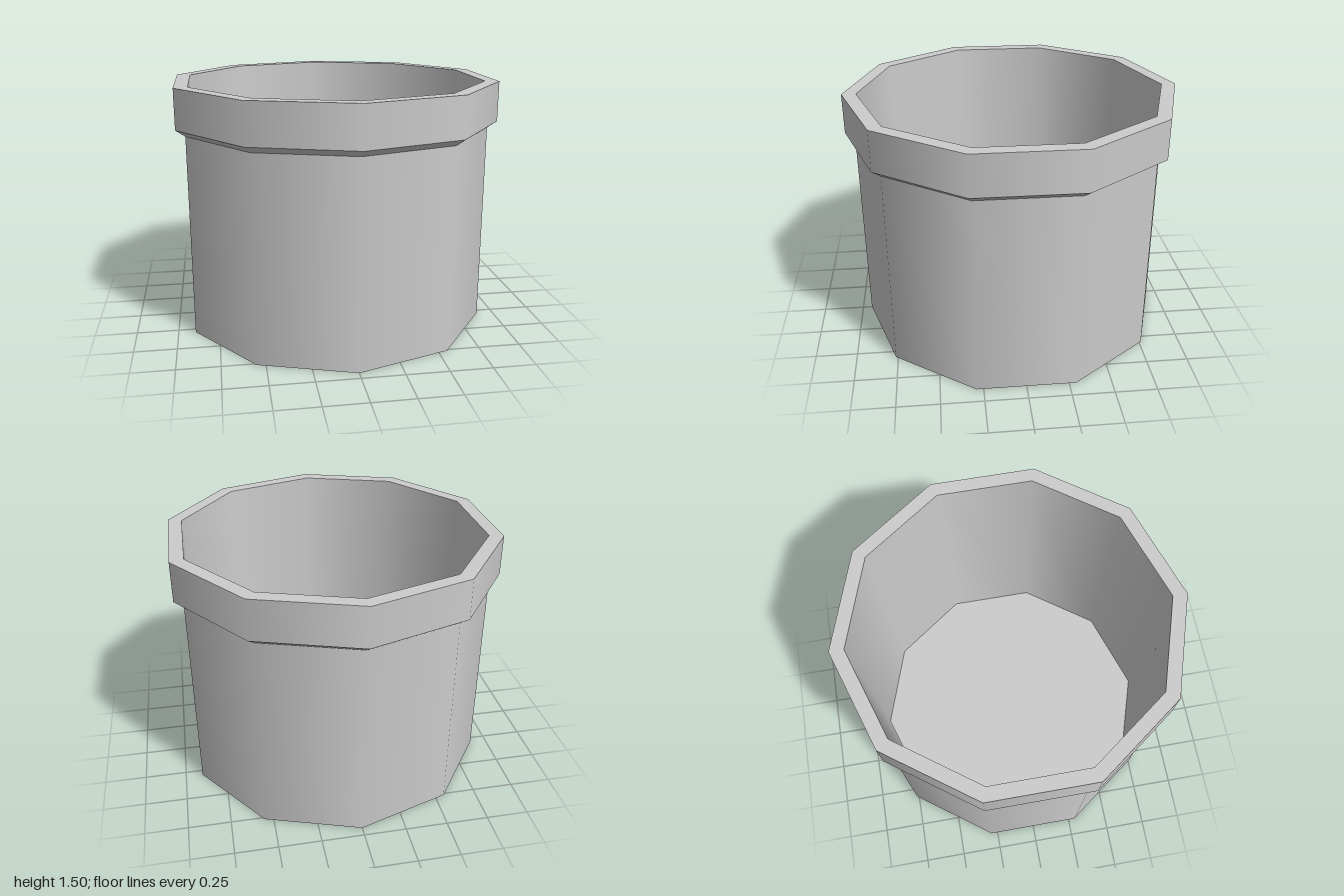
import * as THREE from 'three';

const SIDES = 10;

export function createModel() {
  const model = new THREE.Group();
  model.name = 'pot';
  const material = new THREE.MeshStandardMaterial({ color: 0xcccccc });

  // Each band is its own lathe: smooth around, sharp edge between bands
  const addBand = (name, r0, y0, r1, y1) => {
    const profile = [new THREE.Vector2(r0, y0), new THREE.Vector2(r1, y1)];
    const mesh = new THREE.Mesh(new THREE.LatheGeometry(profile, SIDES), material);
    mesh.name = name;
    model.add(mesh);
  };

  // Outside, from the base up
  addBand('base', 0, 0, 0.943, 0);
  addBand('outerWall', 0.943, 0, 0.943, 1.22);
  addBand('collarUnderside', 0.943, 1.22, 1, 1.26);
  addBand('collar', 1, 1.26, 1, 1.5);
  addBand('rim', 1, 1.5, 0.915, 1.5);

  // Inside, tapering down to the floor
  addBand('innerWall', 0.915, 1.5, 0.873, 0.08);
  addBand('floor', 0.873, 0.08, 0, 0.08);

  return model;
}
